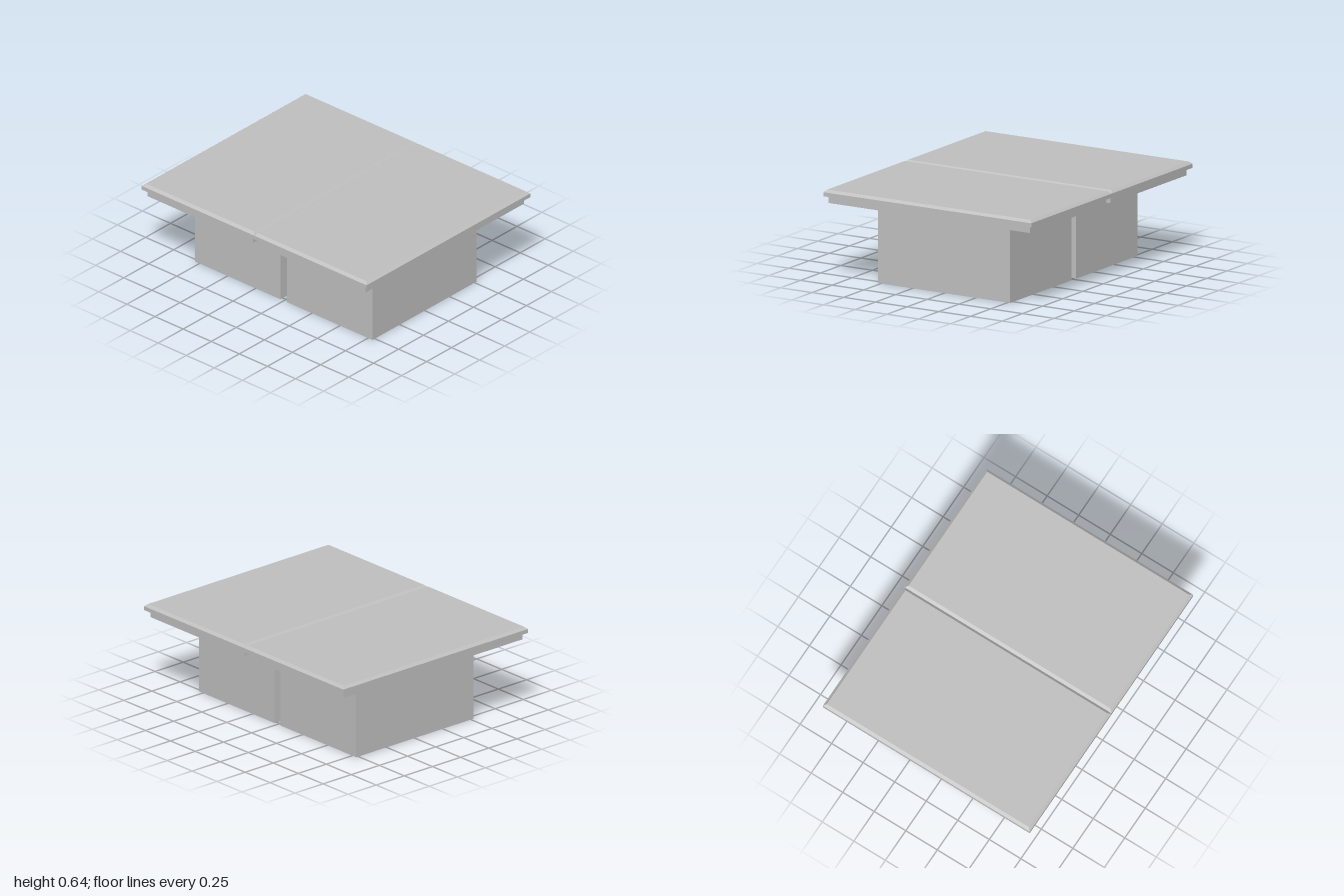
import * as THREE from 'three';

const grey = new THREE.MeshStandardMaterial({ color: 0xc0c0c0 });
grey.name = 'plain grey';

// Box given by its size, centre x, centre z and bottom height
function block(name, w, h, d, x, z, bottom) {
  const mesh = new THREE.Mesh(new THREE.BoxGeometry(w, h, d), grey);
  mesh.name = name;
  mesh.position.set(x, bottom + h / 2, z);
  return mesh;
}

// Slab with straight sides up to `edge`, then a chamfer inward to the top
function chamferedSlab(w, h, d, edge, inset) {
  const box = new THREE.BoxGeometry(w, h, d, 1, 2, 1);
  const p = box.attributes.position;
  for (let i = 0; i < p.count; i++) {
    const y = p.getY(i);
    if (y > h / 4) {
      p.setX(i, p.getX(i) - Math.sign(p.getX(i)) * inset);
      p.setZ(i, p.getZ(i) - Math.sign(p.getZ(i)) * inset);
    } else if (y > -h / 4) {
      p.setY(i, edge - h / 2);
    }
  }
  const geometry = box.toNonIndexed();
  geometry.computeVertexNormals();
  return geometry;
}

export function createModel() {
  const model = new THREE.Group();
  model.name = 'doubleTable';
  const slab = chamferedSlab(1, 0.045, 1.64, 0.028, 0.02);

  // Two matching halves, side by side
  for (const side of [1, -1]) {
    const half = new THREE.Group();
    half.name = side > 0 ? 'leftHalf' : 'rightHalf';

    const top = new THREE.Mesh(slab, grey);
    top.name = 'tableTop';
    top.position.set(side * 0.5, 0.6215, 0);

    half.add(
      top,
      block('apron', 0.94, 0.05, 1.587, side * 0.5, 0.003, 0.55),
      block('pedestal', 0.76, 0.55, 1.042, side * 0.409, 0.002, 0)
    );
    model.add(half);
  }
  return model;
}
